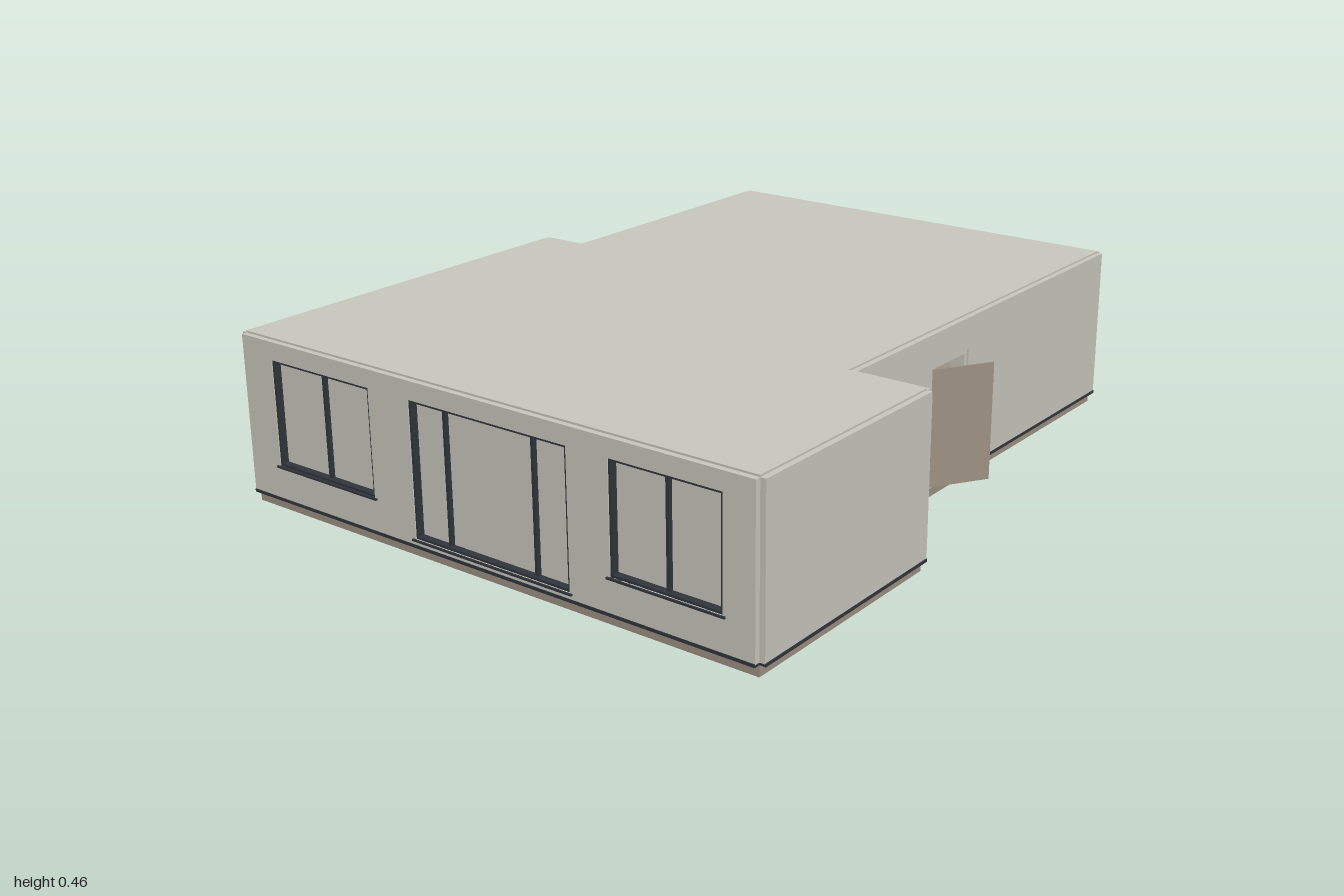
import * as THREE from 'three';

const wallMat = new THREE.MeshStandardMaterial({ name: 'render grey', color: 0xc8c8be });
const brownMat = new THREE.MeshStandardMaterial({ name: 'brown', color: 0x9d9182 });
const frameMat = new THREE.MeshStandardMaterial({ name: 'dark frame', color: 0x30363c });

// Footprint of the structure (x, z), running so that each wall faces outward
const plan = [
  [-0.795, 0.98], [0.795, 0.98], [0.795, 0.33], [0.58, 0.33],
  [0.58, -0.975], [-0.665, -0.975], [-0.665, -0.145], [-0.795, -0.145],
];
const OUT = 0.015, IN = 0.03, LOW = 0.035, TOP = 0.455;

// Openings per wall: a..b along the wall, lo..hi in height
const openings = {
  0: [
    { a: 0.105, b: 0.45, lo: 0.125, hi: 0.407, bars: [0.28] },
    { a: 0.585, b: 1.075, lo: 0.052, hi: 0.407, bars: [0.69, 0.965] },
    { a: 1.195, b: 1.505, lo: 0.125, hi: 0.407, bars: [1.35] },
  ],
  3: [{ a: 0.365, b: 0.545, lo: 0.037, hi: 0.37, door: true }],
  4: [
    { a: 0.125, b: 0.315, lo: 0.195, hi: 0.407, bars: [0.226] },
    { a: 0.505, b: 0.765, lo: 0.13, hi: 0.407, bars: [0.655], rail: true },
    { a: 0.855, b: 1.115, lo: 0.13, hi: 0.407, bars: [0.98], rail: true },
  ],
  5: [{ a: 0.68, b: 0.8, lo: 0.195, hi: 0.407, bars: [] }],
  6: [{ a: 0.02, b: 0.11, lo: 0.195, hi: 0.407, bars: [] }],
};

// Box from its limits along the wall (u), up (v) and outward (w)
function block(parent, name, mat, u0, u1, v0, v1, w0, w1) {
  const m = new THREE.Mesh(new THREE.BoxGeometry(u1 - u0, v1 - v0, w1 - w0), mat);
  m.position.set((u0 + u1) / 2, (v0 + v1) / 2, (w0 + w1) / 2);
  m.name = name;
  parent.add(m);
}

// Horizontal slab with the footprint outline
function slab(name, mat, y0, y1) {
  const shape = new THREE.Shape(plan.map(([x, z]) => new THREE.Vector2(x, -z)));
  const geo = new THREE.ExtrudeGeometry(shape, { depth: y1 - y0, bevelEnabled: false });
  geo.rotateX(-Math.PI / 2).translate(0, y0, 0);
  const m = new THREE.Mesh(geo, mat);
  m.name = name;
  return m;
}

function rectPath(P, a, b, lo, hi) {
  return new P([[a, lo], [b, lo], [b, hi], [a, hi]].map(p => new THREE.Vector2(...p)));
}

function buildWindow({ a, b, lo, hi, bars, rail }) {
  const g = new THREE.Group();
  g.name = 'window';
  const t = 0.006, back = -0.008, front = 0.012;
  block(g, 'pane', wallMat, a, b, lo, hi, back - 0.004, back);
  // Frame lining and mullions
  block(g, 'frameSide', frameMat, a, a + t, lo, hi, back, front);
  block(g, 'frameSide', frameMat, b - t, b, lo, hi, back, front);
  block(g, 'frameTop', frameMat, a, b, hi - t, hi, back, front);
  block(g, 'frameBottom', frameMat, a, b, lo, lo + t, back, front);
  for (const u of bars) block(g, 'mullion', frameMat, u - 0.004, u + 0.004, lo, hi, back, 0.004);
  block(g, 'sill', frameMat, a - 0.008, b + 0.008, lo - 0.005, lo, back, 0.02);
  // Low guard rail in front of the larger rear windows
  if (rail) {
    for (const v of [lo + 0.012, lo + 0.036]) {
      block(g, 'guardRail', frameMat, a, b, v, v + 0.004, 0.016, 0.025);
    }
    for (let i = 0; i <= 6; i++) {
      const u = a + (b - a - 0.004) * i / 6;
      block(g, 'guardPost', frameMat, u, u + 0.004, lo + 0.012, lo + 0.04, 0.016, 0.02);
    }
  }
  return g;
}

function buildWall(i) {
  const [x0, z0] = plan[i], [x1, z1] = plan[(i + 1) % plan.length];
  const length = Math.hypot(x1 - x0, z1 - z0);
  const list = openings[i] || [];
  const g = new THREE.Group();
  g.name = 'wall';
  g.position.set(x0, 0, z0);
  g.rotation.y = Math.atan2(z0 - z1, x1 - x0);

  // Wall panel pierced by its openings
  const shape = rectPath(THREE.Shape, 0, length, LOW, TOP);
  for (const o of list) shape.holes.push(rectPath(THREE.Path, o.a, o.b, o.lo, o.hi));
  const geo = new THREE.ExtrudeGeometry(shape, { depth: IN + OUT, bevelEnabled: false });
  geo.translate(0, 0, -IN);
  const panel = new THREE.Mesh(geo, wallMat);
  panel.name = 'wallPanel';
  g.add(panel);

  // Dark drip strip above the plinth, interrupted at the doorway
  let start = 0;
  for (const d of list.filter(o => o.door)) {
    block(g, 'dripStrip', frameMat, start, d.a, 0.029, 0.037, -0.01, OUT + 0.002);
    start = d.b;
    // Door surround
    block(g, 'doorJamb', wallMat, d.b - 0.012, d.b, d.lo, d.hi, -IN, 0.01);
    block(g, 'doorJamb', wallMat, d.a, d.a + 0.008, d.lo, d.hi, -IN, 0.01);
    block(g, 'doorHead', wallMat, d.a, d.b, d.hi - 0.012, d.hi, -IN, 0.01);
  }
  block(g, 'dripStrip', frameMat, start, length, 0.029, 0.037, -0.01, OUT + 0.002);

  for (const o of list) if (!o.door) g.add(buildWindow(o));
  return g;
}

export function createModel() {
  const model = new THREE.Group();
  model.name = 'house';
  model.add(slab('plinth', brownMat, 0, 0.032));
  model.add(slab('roof', wallMat, 0.435, 0.46));
  plan.forEach((_, i) => model.add(buildWall(i)));

  // Open door leaf on the side wall
  const leaf = new THREE.Group();
  leaf.name = 'door';
  leaf.position.set(0.588, 0, -0.042);
  leaf.rotation.y = Math.atan2(0.148, 0.095);
  block(leaf, 'doorLeaf', brownMat, 0, 0.176, 0.037, 0.358, -0.003, 0.003);
  model.add(leaf);
  return model;
}
